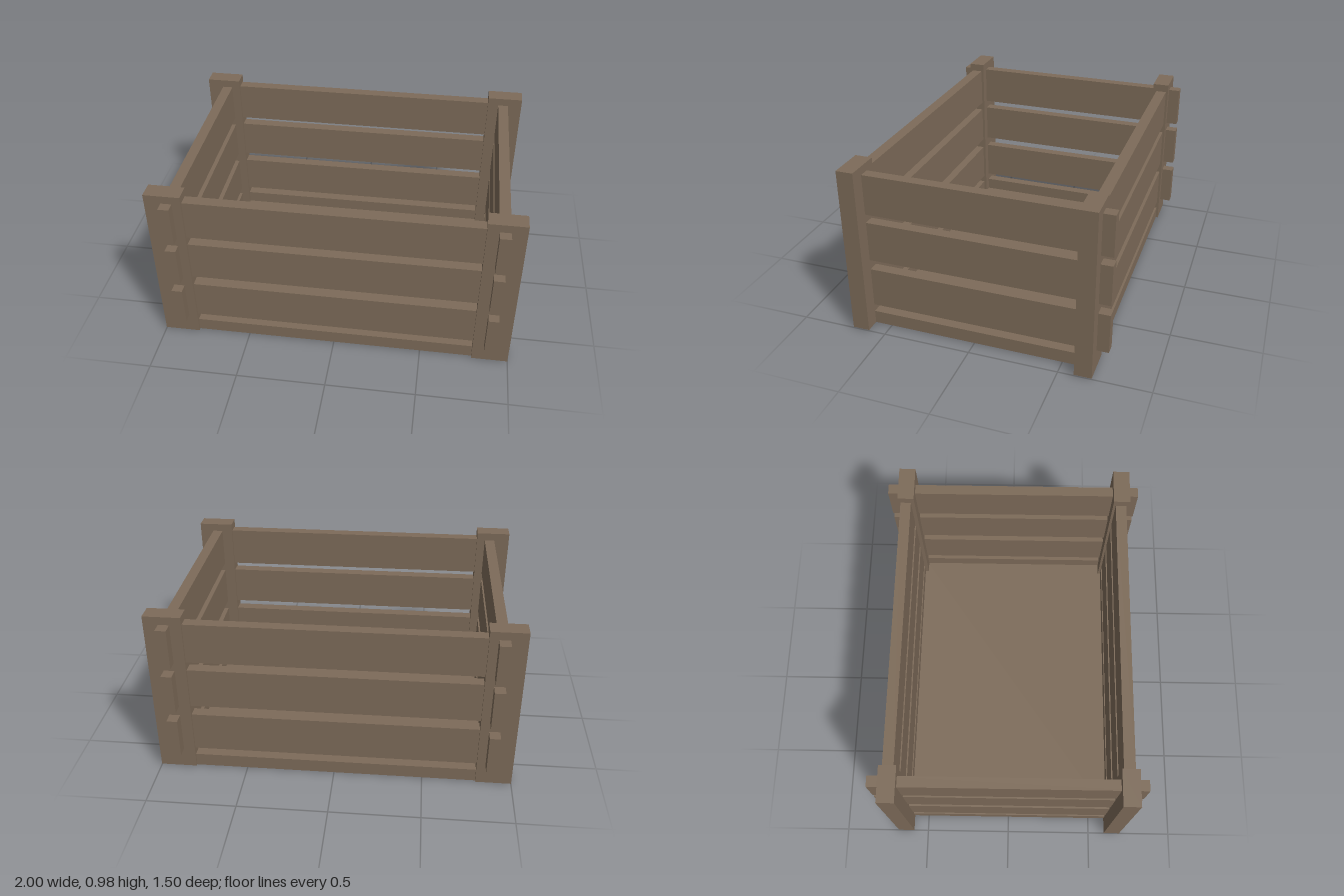
import * as THREE from 'three';

export function createModel() {
  const crate = new THREE.Group();
  crate.name = 'woodenCrate';
  const wood = new THREE.MeshStandardMaterial({ color: 0x7d6b59 });
  wood.name = 'weathered wood';

  // Adds a board spanning the given [min, max] ranges
  const board = (name, x, y, z) => {
    const mesh = new THREE.Mesh(
      new THREE.BoxGeometry(x[1] - x[0], y[1] - y[0], z[1] - z[0]), wood);
    mesh.position.set((x[0] + x[1]) / 2, (y[0] + y[1]) / 2, (z[0] + z[1]) / 2);
    mesh.name = name;
    crate.add(mesh);
  };

  // Corner posts
  const postX = { right: [-1, -0.8], left: [0.795, 1] };
  const postZ = { Front: [0.597, 0.693], Back: [-0.683, -0.587] };
  for (const [side, x] of Object.entries(postX))
    for (const [end, z] of Object.entries(postZ))
      board(`${side}${end}Post`, x, [0.005, 0.975], z);

  // Three tiers of slats above a low bottom rail
  const tiers = [[0.125, 0.356], [0.415, 0.647], [0.697, 0.929]];
  const rail = [0.004, 0.08];
  const wallZ = { front: [0.612, 0.675], back: [-0.67, -0.608] };
  for (const [end, z] of Object.entries(wallZ)) {
    tiers.forEach((y, i) => board(`${end}Slat${i + 1}`, [-0.85, 0.85], y, z));
    board(`${end}Rail`, [-0.85, 0.85], rail, z);
  }

  // Side slats pass through the posts; the side rails stop inside them
  const wallX = { right: [-0.908, -0.848], left: [0.858, 0.918] };
  for (const [side, x] of Object.entries(wallX)) {
    tiers.forEach((y, i) => board(`${side}Slat${i + 1}`, x, y, [-0.748, 0.747]));
    board(`${side}Rail`, x, rail, [-0.63, 0.64]);
  }

  // Thin floor panel
  board('floor', [-0.906, 0.913], [0, 0.006], [-0.632, 0.645]);

  return crate;
}
